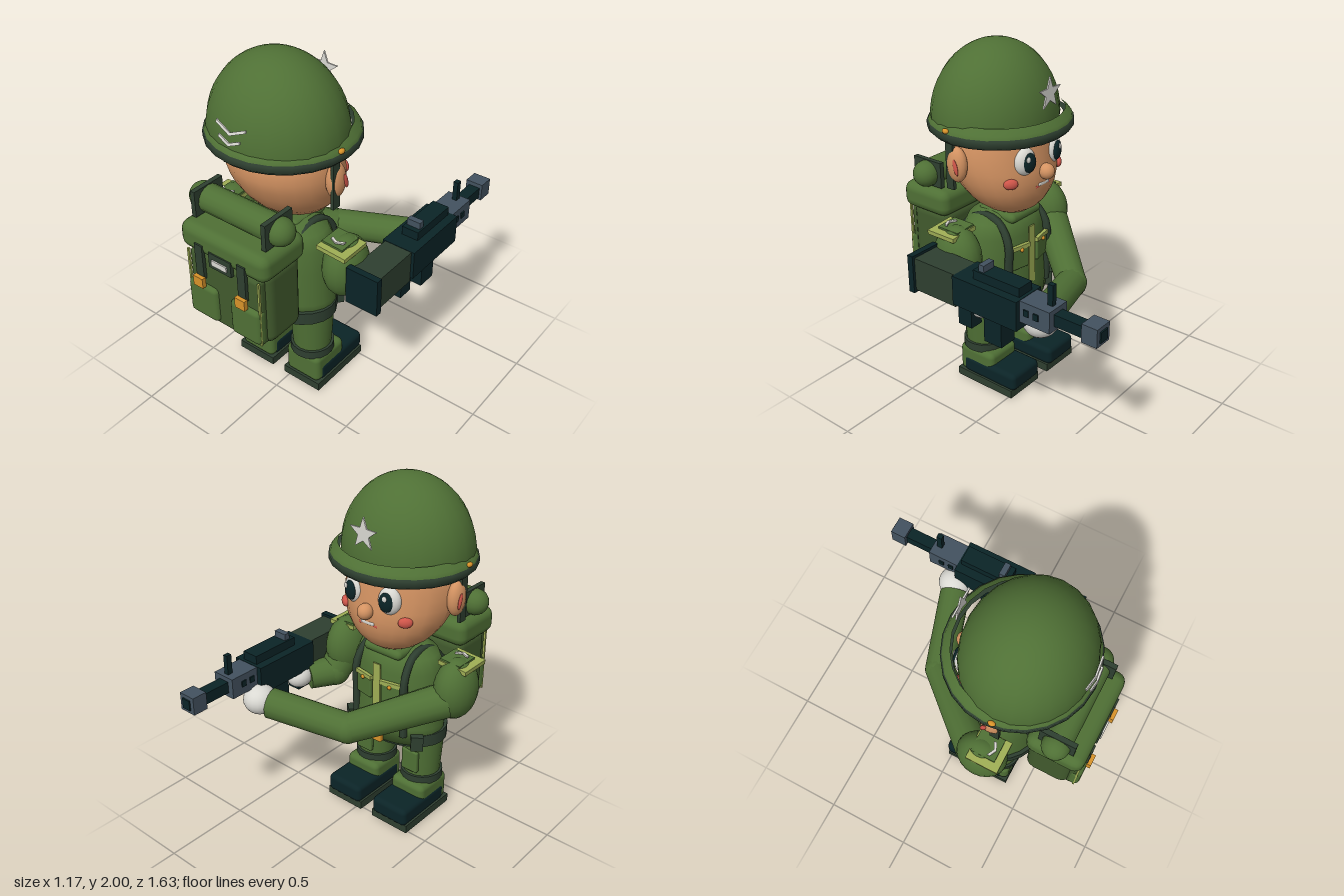
import * as THREE from 'three';
import { RoundedBoxGeometry } from 'three/addons/geometries/RoundedBoxGeometry.js';

const paint = (name, color) => {
  const m = new THREE.MeshStandardMaterial({ color });
  m.name = name;
  return m;
};

export function createModel() {
  const green = paint('field green', 0x4f7035), dark = paint('dark green', 0x2e3f30);
  const pack = paint('pack green', 0x415a2d), lime = paint('light olive', 0x9fae55);
  const skin = paint('skin', 0xd49362), black = paint('black', 0x0b2427);
  const steel = paint('steel', 0x43525f), white = paint('white', 0xdad9d3);
  const brass = paint('brass', 0xd8932a), red = paint('red', 0xd0564a);
  const model = new THREE.Group();
  const CX = -0.08; // mid plane of the figure

  const add = (name, geo, mat, pos = [0, 0, 0], rot = [0, 0, 0], scale = [1, 1, 1], parent = model) => {
    const mesh = new THREE.Mesh(geo, mat);
    mesh.name = name;
    mesh.position.set(...pos);
    mesh.rotation.set(...rot);
    mesh.scale.set(...scale);
    parent.add(mesh);
    return mesh;
  };
  const box = (name, mat, size, pos, rot) => add(name, new THREE.BoxGeometry(...size), mat, pos, rot);
  const soft = (name, mat, size, r, pos, rot) => add(name, new RoundedBoxGeometry(...size, 2, r), mat, pos, rot);
  const ball = (name, mat, size, pos, rot, parent) =>
    add(name, new THREE.SphereGeometry(1, 20, 14), mat, pos, rot, size, parent);
  // box given by its limits on each axis
  const span = (name, mat, x, y, z) => box(name, mat, [x[1] - x[0], y[1] - y[0], z[1] - z[0]],
    [(x[0] + x[1]) / 2, (y[0] + y[1]) / 2, (z[0] + z[1]) / 2]);
  const limb = (name, mat, from, to, r0, r1) => {
    const a = new THREE.Vector3(...from), b = new THREE.Vector3(...to), d = b.clone().sub(a);
    const mesh = add(name, new THREE.CylinderGeometry(r1, r0, d.length(), 14), mat, a.clone().add(b).multiplyScalar(0.5).toArray());
    mesh.quaternion.setFromUnitVectors(new THREE.Vector3(0, 1, 0), d.normalize());
  };
  const lathe = pts => new THREE.LatheGeometry(pts.map(p => new THREE.Vector2(...p)), 24);
  const plate = (pts, depth) => new THREE.ExtrudeGeometry(
    new THREE.Shape(pts.map(p => new THREE.Vector2(...p))), { depth, bevelEnabled: false });
  const chevron = (w, h, t) => plate([[-w, h], [0, 0], [w, h], [w, h + t], [0, t], [-w, h + t]], 0.009);

  // Helmet
  add('helmetDome', new THREE.SphereGeometry(1, 24, 12, 0, Math.PI * 2, 0, Math.PI / 2), green,
    [CX, 1.58, 0.31], [0, 0, 0], [0.378, 0.42, 0.335]);
  add('helmetFlare', lathe([[0.99, 0], [0.97, 0.02], [0.88, 0.05]]), green, [CX, 1.58, 0.275], [0, 0, 0], [0.405, 1, 0.39]);
  add('helmetBrim', lathe([[0, 0], [0.95, 0], [1, 0.02], [1, 0.05], [0.96, 0.065], [0.85, 0.07]]), dark,
    [CX, 1.525, 0.275], [0, 0, 0], [0.407, 1, 0.393]);
  const star = [...Array(10)].map((_, i) => {
    const a = Math.PI / 2 + i * Math.PI / 5, r = i % 2 ? 0.037 : 0.09;
    return [Math.cos(a) * r, Math.sin(a) * r];
  });
  add('helmetStar', plate(star, 0.009), white, [CX, 1.77, -0.06]);
  add('upperChevron', chevron(0.092, 0.04, 0.016), white, [CX, 1.69, 0.648], [-0.3, 0, 0]);
  add('lowerChevron', chevron(0.066, 0.028, 0.016), white, [CX, 1.64, 0.66], [-0.25, 0, 0]);

  // Head, with the chin pushed forward
  const headGeo = new THREE.SphereGeometry(1, 24, 18).scale(0.325, 0.36, 0.29);
  const hp = headGeo.attributes.position;
  for (let i = 0; i < hp.count; i++) hp.setZ(i, hp.getZ(i) + Math.min(0, hp.getY(i)) * 0.25);
  headGeo.computeVertexNormals();
  add('head', headGeo, skin, [CX, 1.41, 0.275]);
  ball('nose', skin, [0.043, 0.045, 0.045], [CX, 1.335, -0.04]);
  soft('mouth', red, [0.13, 0.02, 0.03], 0.008, [CX, 1.255, -0.005]);
  soft('teeth', white, [0.09, 0.022, 0.03], 0.008, [CX, 1.265, -0.012]);
  for (const s of [-1, 1]) {
    const eye = new THREE.Group();
    eye.name = 'eye';
    eye.position.set(CX + s * 0.12, 1.415, 0.015);
    eye.rotation.y = -s * 0.25;
    model.add(eye);
    ball('eyeWhite', white, [0.064, 0.078, 0.045], [0, 0, 0], [0, 0, 0], eye);
    ball('pupil', black, [0.042, 0.055, 0.02], [-s * 0.008, 0, -0.032], [0, 0, 0], eye);
    ball('eyeGlint', white, [0.013, 0.016, 0.006], [0.01, 0.025, -0.049], [0, 0, 0], eye);
    soft('eyebrow', black, [0.1, 0.02, 0.03], 0.008, [CX + s * 0.12, 1.515, 0.005], [0, -s * 0.3, -s * 0.15]);
    ball('cheek', red, [0.04, 0.03, 0.022], [CX + s * 0.205, 1.305, 0.04], [0, -s * 0.7, 0]);
    ball('ear', skin, [0.045, 0.1, 0.062], [CX + s * 0.342, 1.4, 0.29]);
    ball('innerEar', red, [0.008, 0.045, 0.014], [CX + s * 0.384, 1.4, 0.265], [0.25, 0, 0]);
    box('chinStrap', dark, [0.02, 0.27, 0.05], [CX + s * 0.36, 1.395, 0.32]);
    ball('helmetRivet', brass, [0.014, 0.014, 0.02], [CX + s * 0.395, 1.595, 0.315]);
  }

  // Torso, belt and harness
  add('jacket', lathe([[0, 0], [1, 0], [1.02, 0.1], [0.97, 0.3], [0.95, 0.44], [0.83, 0.52], [0.55, 0.56], [0, 0.58]]), green,
    [CX, 0.5, 0.265], [0, 0, 0], [0.29, 1, 0.205]);
  add('belt', new THREE.CylinderGeometry(1, 1, 0.075, 24), dark, [CX, 0.525, 0.28], [0, 0, 0], [0.305, 1, 0.215]);
  soft('beltBuckle', brass, [0.1, 0.08, 0.03], 0.008, [CX, 0.53, 0.052]);
  box('jacketPlacket', lime, [0.05, 0.36, 0.009], [CX, 0.8, 0.062]);
  soft('collar', green, [0.26, 0.06, 0.26], 0.03, [CX, 1.045, 0.22]);
  for (const s of [-1, 1]) {
    const pts = [[0.17, 0.56, 0.095], [0.17, 0.75, 0.092], [0.17, 0.93, 0.095], [0.16, 1.03, 0.18], [0.16, 1.03, 0.32], [0.17, 0.9, 0.45]];
    const path = new THREE.CatmullRomCurve3(pts.map(p => new THREE.Vector3(CX + s * p[0], p[1], p[2])));
    add('shoulderStrap', new THREE.TubeGeometry(path, 20, 0.024, 6), dark);
    soft('chestPocket', green, [0.12, 0.13, 0.03], 0.01, [CX + s * 0.095, 0.81, 0.077], [0, -s * 0.2, 0]);
    box('pocketFlap', lime, [0.13, 0.025, 0.02], [CX + s * 0.095, 0.88, 0.066], [0, -s * 0.2, 0]);
    ball('pocketButton', brass, [0.012, 0.012, 0.01], [CX + s * 0.095, 0.865, 0.054]);
    box('beltPouch', dark, [0.07, 0.09, 0.05], [CX + s * 0.24, 0.53, 0.13], [0, -s * 0.7, 0]);
  }

  // Legs and boots
  for (const s of [-1, 1]) {
    const x = CX + s * 0.17;
    add('trouserLeg', new THREE.CylinderGeometry(0.128, 0.108, 0.32, 18), green, [x, 0.4, 0.28]);
    soft('kneePatch', green, [0.11, 0.14, 0.03], 0.01, [x, 0.36, 0.168]);
    add('bootCuff', new THREE.CylinderGeometry(0.124, 0.124, 0.05, 18), dark, [x, 0.235, 0.28]);
    soft('bootShaft', green, [0.232, 0.18, 0.25], 0.035, [x, 0.13, 0.257]);
    soft('bootToe', black, [0.242, 0.11, 0.385], 0.03, [x, 0.095, 0.158]);
    box('bootSole', dark, [0.252, 0.05, 0.405], [x, 0.025, 0.183]);
  }

  // Shoulders and arms
  for (const s of [-1, 1]) {
    const x = CX + s * 0.39;
    ball('shoulder', green, [0.115, 0.18, 0.145], [x, 0.885, 0.265]);
    box('epaulette', lime, [0.18, 0.025, 0.185], [x, 1.03, 0.305], [0, 0, -s * 0.06]);
    box('epauletteCap', green, [0.13, 0.03, 0.14], [x - s * 0.02, 1.04, 0.29], [0, 0, -s * 0.06]);
    const badge = chevron(0.04, 0.02, 0.016);
    add('epauletteBadge', badge, white, [x - s * 0.01, 1.06, 0.345], [-Math.PI / 2, 0, 0]);
  }
  limb('reachingUpperArm', green, [-0.45, 0.83, 0.2], [-0.1, 0.7, -0.205], 0.1, 0.085);
  ball('reachingElbow', green, [0.086, 0.086, 0.086], [-0.1, 0.7, -0.205]);
  limb('reachingForearm', green, [-0.1, 0.7, -0.205], [0.345, 0.745, -0.345], 0.085, 0.088);
  ball('reachingHand', white, [0.095, 0.085, 0.095], [0.4, 0.765, -0.375]);
  limb('triggerUpperArm', green, [0.31, 0.85, 0.25], [0.33, 0.74, 0.17], 0.105, 0.09);
  ball('triggerElbow', green, [0.092, 0.092, 0.092], [0.33, 0.74, 0.17]);
  limb('triggerForearm', green, [0.33, 0.74, 0.17], [0.41, 0.73, 0.03], 0.09, 0.078);
  ball('triggerHand', white, [0.075, 0.07, 0.08], [0.44, 0.745, -0.02]);

  // Backpack
  soft('packBody', pack, [0.53, 0.47, 0.27], 0.06, [CX, 0.8, 0.6]);
  soft('packLid', green, [0.58, 0.16, 0.33], 0.055, [CX, 1.08, 0.615]);
  soft('packBackPanel', pack, [0.48, 0.42, 0.07], 0.025, [CX, 0.79, 0.73]);
  const roll = new THREE.CapsuleGeometry(0.076, 0.51, 6, 16).rotateZ(Math.PI / 2);
  add('bedRoll', roll, green, [CX, 1.235, 0.61]);
  box('packLabel', dark, [0.15, 0.09, 0.02], [CX, 1.015, 0.777]);
  box('packLabelPlate', white, [0.1, 0.032, 0.009], [CX, 1.01, 0.79]);
  for (const s of [-1, 1]) {
    box('rollStrap', dark, [0.028, 0.15, 0.2], [CX + s * 0.232, 1.24, 0.61]);
    box('lidStrap', dark, [0.052, 0.21, 0.02], [CX + s * 0.143, 0.97, 0.779]);
    box('strapBuckle', brass, [0.065, 0.06, 0.025], [CX + s * 0.143, 0.852, 0.798]);
    soft('packPocket', green, [0.2, 0.22, 0.07], 0.03, [CX + s * 0.145, 0.71, 0.755]);
    box('packPiping', lime, [0.012, 0.4, 0.012], [CX + s * 0.238, 0.8, 0.766]);
  }

  // Rifle
  span('buttPlate', black, [0.39, 0.585], [0.75, 0.97], [0.335, 0.372]);
  span('stock', dark, [0.405, 0.57], [0.765, 0.955], [0.05, 0.335]);
  span('receiver', black, [0.39, 0.588], [0.79, 0.957], [-0.368, 0.052]);
  span('handguard', steel, [0.42, 0.56], [0.835, 0.955], [-0.55, -0.365]);
  span('barrel', black, [0.455, 0.523], [0.862, 0.928], [-0.72, -0.55]);
  span('muzzle', steel, [0.435, 0.538], [0.85, 0.952], [-0.81, -0.72]);
  span('muzzleBore', black, [0.46, 0.515], [0.87, 0.93], [-0.818, -0.81]);
  span('topRail', black, [0.44, 0.54], [0.957, 1.007], [-0.35, -0.05]);
  span('rearSight', steel, [0.45, 0.53], [1.0, 1.045], [-0.115, -0.08]);
  span('frontSight', black, [0.476, 0.504], [0.955, 1.07], [-0.527, -0.495]);
  span('magazine', black, [0.435, 0.54], [0.61, 0.79], [-0.23, -0.115]);
  span('grip', black, [0.45, 0.53], [0.64, 0.79], [-0.02, 0.07]);
  for (const z of [-0.41, -0.47])
    for (const x of [0.417, 0.563]) box('handguardVent', black, [0.009, 0.035, 0.03], [x, 0.9, z]);

  return model;
}
